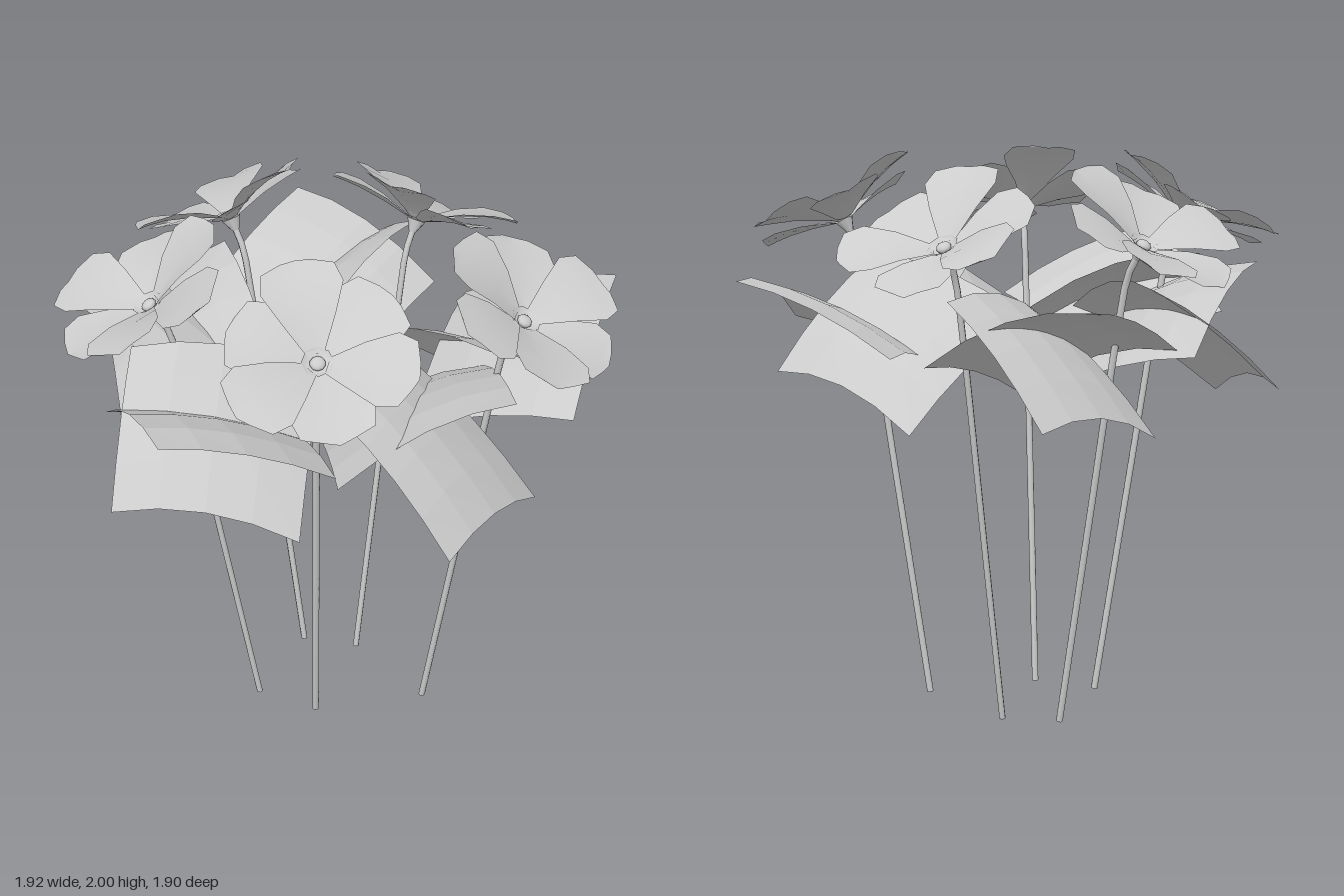
import * as THREE from 'three';

const grey = new THREE.MeshStandardMaterial({ color: 0xcccccc, side: THREE.DoubleSide });
grey.name = 'pale grey';
const deg = Math.PI / 180;

// Grid surface from a rule: point(column, row) -> [x, y, z]
function sheet(cols, rows, point) {
  const positions = [], index = [];
  for (let j = 0; j <= rows; j++) {
    for (let i = 0; i <= cols; i++) positions.push(...point(i, j));
  }
  for (let j = 0; j < rows; j++) {
    for (let i = 0; i < cols; i++) {
      const a = j * (cols + 1) + i, b = a + 1, c = a + cols + 1, d = c + 1;
      index.push(a, b, d, a, d, c);
    }
  }
  const g = new THREE.BufferGeometry();
  g.setAttribute('position', new THREE.Float32BufferAttribute(positions, 3));
  g.setIndex(index);
  g.computeVertexNormals();
  return g;
}

function part(name, geometry) {
  const mesh = new THREE.Mesh(geometry, grey);
  mesh.name = name;
  return mesh;
}

// Arched four-cornered leaf with flat facets: two outer corners, then the inner corners behind them
function leafGeometry(outerA, outerB, innerB, innerA) {
  const [a, b, c, d] = [outerA, outerB, innerB, innerA].map(p => new THREE.Vector3(...p));
  const g = sheet(4, 4, (i, j) => {
    const s = i / 4, t = j / 4;
    const p = a.clone().lerp(b, s).lerp(d.clone().lerp(c, s), t);
    p.y += 0.24 * s * (1 - s) + 0.14 * t * (1 - t);
    return p.toArray();
  }).toNonIndexed();
  g.computeVertexNormals();
  return g;
}

// Petal: angular blade along +x, narrow at the base, blunt at the tip, rising to the given height
function petalGeometry(length, rise) {
  const blade = [[0.1, 0.03], [0.4, 0.088], [0.68, 0.133], [0.88, 0.118], [1, 0.05]];
  return sheet(2, blade.length - 1, (i, j) => {
    const [k, half] = blade[j];
    const side = i - 1;
    const y = rise * Math.sin(k * Math.PI / 2) + 0.02 * side * side * Math.sin(k * Math.PI * 0.8);
    return [k * length - (k === 1 ? 0.012 * side * side : 0), y, -side * half];
  });
}

function createHead() {
  const head = new THREE.Group();
  head.name = 'flowerHead';
  // alternate lower outer petals and higher inner petals
  [0.305, 0.325, 0.325, 0.325, 0.30, 0.34].forEach((reach, i) => {
    const inner = i % 2 === 1;
    const petal = part(inner ? 'innerPetal' : 'outerPetal', petalGeometry(reach, inner ? 0.1 : 0.058));
    petal.rotation.y = (10 + i * 60) * deg;
    petal.position.y = inner ? 0.006 : 0;
    head.add(petal);
  });
  // shallow cup, flattened centre knob and the flare under the petals
  const cup = part('centreCup', new THREE.LatheGeometry(
    [[0, 0.012], [0.03, 0.014], [0.052, 0.032]].map(p => new THREE.Vector2(...p)), 8));
  const knob = part('centreKnob', new THREE.SphereGeometry(0.026, 10, 6));
  knob.scale.y = 0.6;
  knob.position.y = 0.02;
  const calyx = part('calyx', new THREE.CylinderGeometry(0.034, 0.013, 0.045, 8));
  calyx.position.y = -0.014;
  head.add(cup, knob, calyx);
  head.position.set(0.315, 1.736, 0);
  head.rotation.z = -30 * deg;
  return head;
}

// One flower leaning towards its own +x
function createFlower() {
  const flower = new THREE.Group();
  flower.name = 'flower';
  const path = new THREE.CatmullRomCurve3(
    [[0, 0], [0.125, 0.8], [0.235, 1.5], [0.265, 1.645], [0.302, 1.715]]
      .map(([x, y]) => new THREE.Vector3(x, y, 0)));
  flower.add(part('stem', new THREE.TubeGeometry(path, 28, 0.012, 6)));
  const base = part('stemEnd', new THREE.CircleGeometry(0.012, 6));
  base.rotation.x = Math.PI / 2;
  base.position.y = 0.001;
  flower.add(base, createHead());
  flower.add(part('lowLeaf', leafGeometry(
    [0.43, 1.13, 0.07], [0.40, 1.265, 0.67], [-0.03, 1.615, 0.59], [-0.085, 1.45, -0.035])));
  flower.add(part('highLeaf', leafGeometry(
    [0.5, 1.39, -0.05], [0.40, 1.62, -0.62], [-0.16, 1.4, -0.6], [-0.09, 1.185, -0.02])));
  return flower;
}

export function createModel() {
  const model = new THREE.Group();
  model.name = 'flowerBunch';
  // x, z of each stem foot and the heading it leans to
  [[-0.34, 0.09, 173], [-0.145, -0.195, 227.5], [-0.14, 0.21, 92],
    [0.05, -0.13, -43.7], [0.265, 0.175, 34.5]].forEach(([x, z, heading]) => {
    const flower = createFlower();
    flower.position.set(x, 0, z);
    flower.rotation.y = -heading * deg;
    model.add(flower);
  });
  return model;
}
